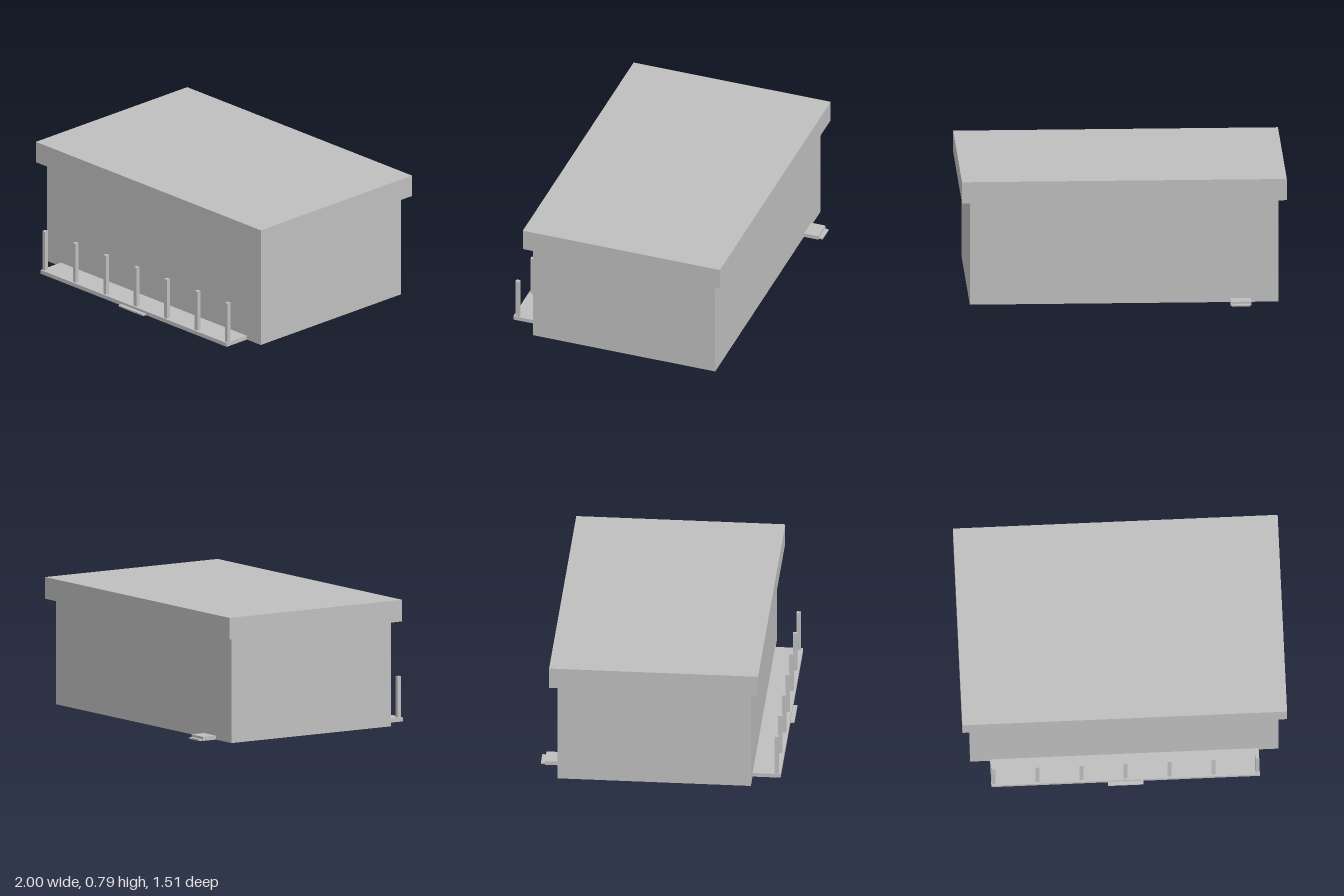
import * as THREE from 'three';

const grey = new THREE.MeshStandardMaterial({ color: 0xbfbfbf });
grey.name = 'light grey';

// Box given by its minimum and maximum on each axis
function block(name, [x0, x1], [y0, y1], [z0, z1]) {
  const mesh = new THREE.Mesh(new THREE.BoxGeometry(x1 - x0, y1 - y0, z1 - z0), grey);
  mesh.position.set((x0 + x1) / 2, (y0 + y1) / 2, (z0 + z1) / 2);
  mesh.name = name;
  return mesh;
}

export function createModel() {
  const building = new THREE.Group();
  building.name = 'building';

  // Main volume and overhanging flat roof
  building.add(
    block('walls', [-0.95, 0.95], [0, 0.655], [-0.636, 0.557]),
    block('roof', [-1, 1], [0.655, 0.79], [-0.685, 0.605]),
  );

  // Front porch with a low step
  building.add(
    block('porch', [-0.827, 0.827], [0, 0.025], [0.557, 0.73]),
    block('porchStep', [-0.11, 0.11], [0, 0.01], [0.73, 0.755]),
  );

  // Row of porch posts
  const posts = new THREE.Group();
  posts.name = 'porchPosts';
  for (let i = -3; i <= 3; i++) {
    const x = i * 0.2705;
    posts.add(block('post', [x - 0.012, x + 0.012], [0.025, 0.282], [0.692, 0.718]));
  }
  building.add(posts);

  // Back door landing with a low step
  building.add(
    block('backLanding', [-0.78, -0.652], [0, 0.025], [-0.73, -0.636]),
    block('backStep', [-0.77, -0.662], [0, 0.01], [-0.755, -0.73]),
  );

  return building;
}
